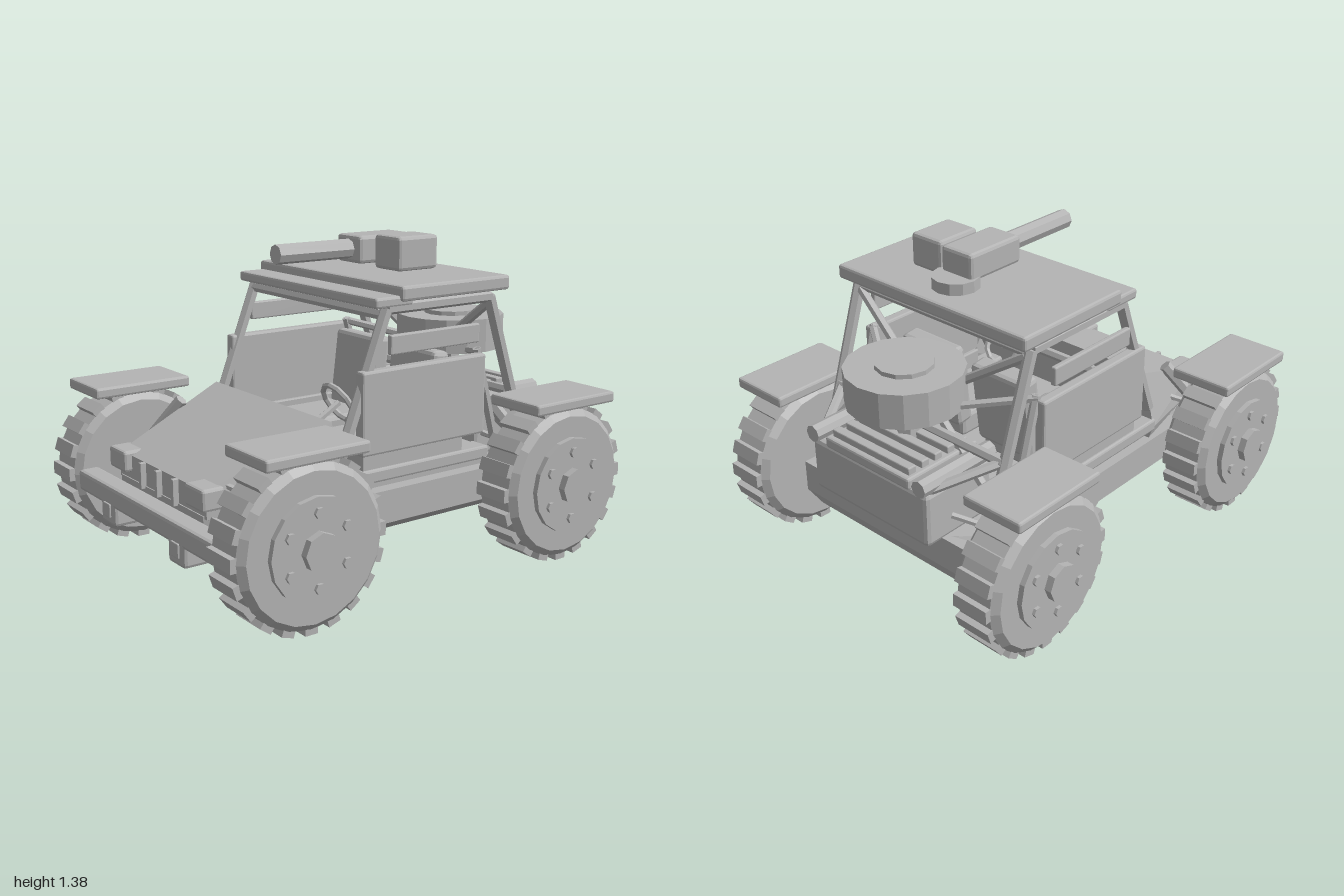
import * as THREE from 'three';
import { RoundedBoxGeometry } from 'three/addons/geometries/RoundedBoxGeometry.js';
import { ConvexGeometry } from 'three/addons/geometries/ConvexGeometry.js';

const grey = new THREE.MeshStandardMaterial({ color: 0xb4b4b4, flatShading: true });
grey.name = 'plain grey';

function add(parent, name, geometry, x = 0, y = 0, z = 0) {
  const mesh = new THREE.Mesh(geometry, grey);
  mesh.name = name;
  mesh.position.set(x, y, z);
  parent.add(mesh);
  return mesh;
}

// Chamfered block given by its limits on each axis
function block(parent, name, [x0, x1], [y0, y1], [z0, z1], bevel = 0.01) {
  const g = new RoundedBoxGeometry(x1 - x0, y1 - y0, z1 - z0, 1, bevel);
  return add(parent, name, g, (x0 + x1) / 2, (y0 + y1) / 2, (z0 + z1) / 2);
}

// Straight bar between two points
function bar(parent, name, a, b, radius = 0.022, sides = 6) {
  const p = new THREE.Vector3(...a), q = new THREE.Vector3(...b);
  const mesh = add(parent, name, new THREE.CylinderGeometry(radius, radius, p.distanceTo(q), sides));
  mesh.position.copy(p).add(q).multiplyScalar(0.5);
  mesh.quaternion.setFromUnitVectors(new THREE.Vector3(0, 1, 0), q.sub(p).normalize());
  return mesh;
}

// Symmetric convex solid from the points of one half
function solid(parent, name, half) {
  const pts = half.flatMap(([x, y, z]) => [new THREE.Vector3(x, y, z), new THREE.Vector3(-x, y, z)]);
  return add(parent, name, new ConvexGeometry(pts));
}

// Wheel with its axis along x and the hub towards +x
function makeWheel() {
  const wheel = new THREE.Group();
  wheel.name = 'wheel';
  const profile = [[0, -0.107], [0.295, -0.107], [0.325, -0.08], [0.325, 0.08], [0.295, 0.107], [0, 0.107]]
    .map(([r, h]) => new THREE.Vector2(r, h));
  add(wheel, 'tyre', new THREE.LatheGeometry(profile, 20)).rotation.z = -Math.PI / 2;
  for (let i = 0; i < 20; i++) {
    const a = i * Math.PI / 10;
    const tread = add(wheel, 'tread', new THREE.BoxGeometry(0.165, 0.035, 0.055),
      0, Math.cos(a) * 0.328, Math.sin(a) * 0.328);
    tread.rotation.x = a;
  }
  const disc = (name, r, depth, sides, x, y = 0, z = 0) => {
    add(wheel, name, new THREE.CylinderGeometry(r, r, depth, sides), x, y, z).rotation.z = -Math.PI / 2;
  };
  disc('rim', 0.205, 0.03, 16, 0.115);
  disc('hubCap', 0.077, 0.06, 8, 0.131);
  for (let i = 0; i < 6; i++) {
    const a = i * Math.PI / 3;
    disc('bolt', 0.022, 0.02, 6, 0.133, Math.cos(a) * 0.145, Math.sin(a) * 0.145);
  }
  return wheel;
}

export function createModel() {
  const model = new THREE.Group();
  model.name = 'buggy';

  // Hull, hood and cabin floor
  solid(model, 'hull', [
    [0.30, 0.20, 0.84], [0.43, 0.20, 0.52], [0.43, 0.20, -0.78],
    [0.34, 0.25, 0.87], [0.50, 0.25, 0.52], [0.50, 0.25, -0.80],
    [0.34, 0.39, 0.87], [0.50, 0.39, 0.52], [0.50, 0.39, -0.80],
  ]);
  solid(model, 'hood', [
    [0.44, 0.70, 0.34], [0.50, 0.45, 0.34], [0.48, 0.39, 0.34],
    [0.35, 0.49, 0.865], [0.36, 0.38, 0.865],
  ]);
  block(model, 'floor', [-0.44, 0.44], [0.37, 0.46], [-0.5, 0.36]);
  for (const x of [-0.135, 0, 0.135]) {
    block(model, 'grilleSlat', [x - 0.01, x + 0.01], [0.38, 0.49], [0.85, 0.89], 0.002);
  }
  block(model, 'frontBumper', [-0.57, 0.57], [0.28, 0.37], [0.87, 0.965], 0.015);

  // Engine and tail
  block(model, 'engineBox', [-0.33, 0.33], [0.38, 0.62], [-0.88, -0.52], 0.02);
  block(model, 'engineTop', [-0.24, 0.24], [0.61, 0.66], [-0.885, -0.5]);
  for (let i = 0; i < 5; i++) {
    const z = -0.84 + i * 0.07;
    block(model, 'coolingFin', [-0.22, 0.22], [0.65, 0.69], [z - 0.02, z + 0.02], 0.005);
  }

  // Spare wheel
  add(model, 'spareWheel', new THREE.CylinderGeometry(0.245, 0.245, 0.15, 16), 0, 0.903, -0.655);
  add(model, 'spareHub', new THREE.CylinderGeometry(0.12, 0.12, 0.16, 12), 0, 0.917, -0.655);
  bar(model, 'sparePost', [0, 0.64, -0.655], [0, 0.86, -0.655], 0.05);

  // Roof and cage cross bars
  block(model, 'roof', [-0.515, 0.515], [1.155, 1.217], [-0.53, 0.05], 0.012);
  block(model, 'roofLip', [-0.5, 0.5], [1.135, 1.178], [-0.02, 0.17]);
  bar(model, 'frontCrossBar', [-0.475, 1.105, 0.11], [0.475, 1.105, 0.11]);
  bar(model, 'rearCrossBar', [-0.475, 1.115, -0.45], [0.475, 1.115, -0.45]);
  bar(model, 'dashBar', [-0.47, 0.64, 0.3], [0.47, 0.64, 0.3]);
  bar(model, 'tailCrossBar', [-0.47, 0.7, -0.6], [0.47, 0.7, -0.6]);

  // Roof gun
  add(model, 'gunMount', new THREE.CylinderGeometry(0.1, 0.1, 0.055, 12), 0, 1.238, -0.36);
  block(model, 'gunBody', [-0.085, 0.08], [1.25, 1.368], [-0.36, -0.07], 0.015);
  block(model, 'ammoBox', [0.088, 0.256], [1.23, 1.375], [-0.353, -0.14], 0.015);
  bar(model, 'gunBarrel', [0, 1.31, -0.1], [0, 1.31, 0.305], 0.042, 8);

  // Steering
  bar(model, 'steeringColumn', [0.2, 0.58, 0.34], [0.2, 0.7, 0.13], 0.015);
  add(model, 'steeringWheel', new THREE.TorusGeometry(0.09, 0.013, 6, 12), 0.2, 0.7, 0.13).rotation.x = 0.5;

  for (const s of [-1, 1]) {
    // Limits of a part on one side, mirrored for the other
    const span = (a, b) => (s > 0 ? [a, b] : [-b, -a]);

    // Wheels, fenders and suspension
    for (const e of [-1, 1]) {
      const z = e * 0.655;
      const wheel = makeWheel();
      wheel.position.set(s * 0.664, 0.345, z);
      if (s < 0) wheel.rotation.y = Math.PI;
      model.add(wheel);
      block(model, 'fender', span(0.525, 0.805), [0.675, 0.723], [z - 0.228, z + 0.228]);
      const knuckle = [s * 0.56, 0.4, z];
      for (const d of [-0.12, 0.12]) {
        bar(model, 'suspensionArm', [s * 0.33, 0.37, z + d], knuckle, 0.018);
        bar(model, 'upperArm', [s * 0.36, 0.5, z + d], [s * 0.56, 0.44, z], 0.014);
      }
      bar(model, 'shock', [s * 0.41, 0.65, z - 0.12 * e], [s * 0.56, 0.42, z], 0.028);
      bar(model, 'axle', [s * 0.3, 0.345, z], [s * 0.57, 0.345, z], 0.03);
    }

    // Cage side bars
    const foot = [s * 0.475, 0.55, 0.325], front = [s * 0.475, 1.13, 0.1];
    const rear = [s * 0.475, 1.13, -0.45], tail = [s * 0.475, 0.62, -0.62];
    bar(model, 'frontPillar', foot, front, 0.026);
    bar(model, 'roofRail', front, rear, 0.026);
    bar(model, 'rearPillar', rear, tail, 0.026);
    bar(model, 'rearBrace', [s * 0.46, 1.1, -0.46], [-s * 0.42, 0.53, -0.62], 0.02);
    bar(model, 'sideBrace', [s * 0.46, 0.91, -0.4], [s * 0.46, 0.48, -0.52], 0.02);
    bar(model, 'tailRail', [s * 0.47, 0.7, -0.58], [s * 0.3, 0.62, -0.86], 0.02);
    bar(model, 'spareStrut', [s * 0.47, 0.9, -0.4], [s * 0.15, 0.83, -0.62], 0.018);

    // Doors and sills
    block(model, 'door', span(0.46, 0.51), [0.55, 0.895], [-0.41, 0.24]);
    block(model, 'windowGuard', span(0.495, 0.52), [0.95, 1.03], [-0.36, 0.11], 0.006);
    block(model, 'lowerDoor', span(0.44, 0.485), [0.45, 0.56], [-0.31, 0.22], 0.005);
    block(model, 'sill', span(0.40, 0.50), [0.43, 0.487], [-0.45, 0.36]);

    // Seats
    block(model, 'seatCushion', span(0.06, 0.36), [0.45, 0.56], [-0.28, 0.14], 0.02);
    const back = block(model, 'seatBack', span(0.055, 0.35), [0.52, 0.89], [-0.33, -0.24], 0.02);
    back.rotation.x = -0.12;

    // Front lights and lower lamps
    block(model, 'headlight', span(0.25, 0.39), [0.42, 0.51], [0.80, 0.9], 0.012);
    block(model, 'lowerLamp', span(0.225, 0.355), [0.2, 0.308], [0.85, 0.965], 0.015);
    block(model, 'lampLens', span(0.26, 0.32), [0.235, 0.295], [0.95, 0.973], 0.004);

    // Exhaust pipes
    bar(model, 'exhaust', [s * 0.305, 0.65, -0.5], [s * 0.305, 0.65, -0.895], 0.037, 8);
  }
  return model;
}
